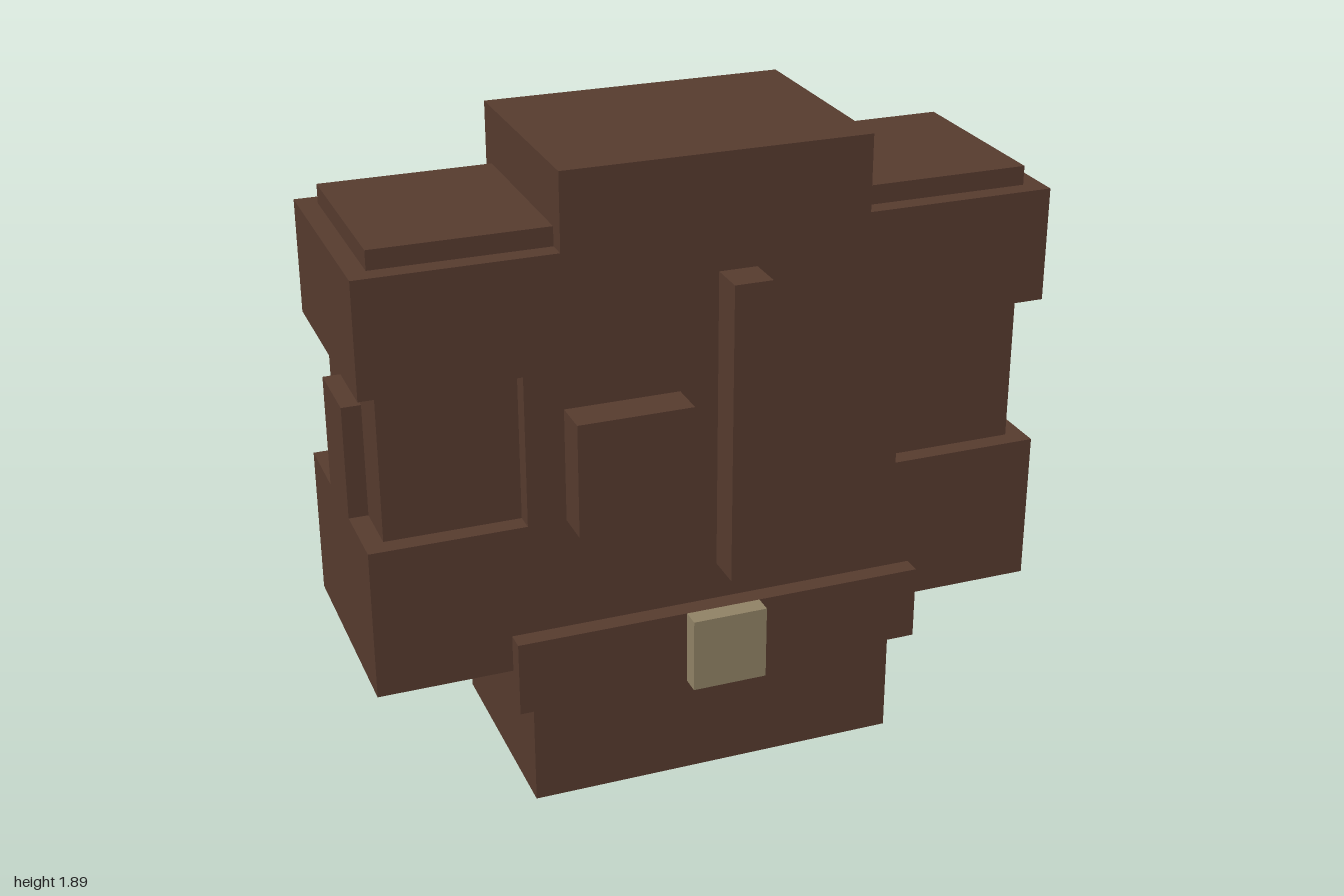
import * as THREE from 'three';

export function createModel() {
  const model = new THREE.Group();
  model.name = 'blockyJacket';
  const brown = new THREE.MeshStandardMaterial({ color: 0x563b2e });
  brown.name = 'brown leather';
  const brass = new THREE.MeshStandardMaterial({ color: 0x908265 });
  brass.name = 'dull brass';

  // All sizes are whole steps of a block grid, 18 steps to one unit
  const S = 1 / 18;
  function box(name, [x0, x1], [y0, y1], [z0, z1], material = brown, parent = model) {
    const geometry = new THREE.BoxGeometry((x1 - x0) * S, (y1 - y0) * S, (z1 - z0) * S);
    const mesh = new THREE.Mesh(geometry, material);
    mesh.position.set((x0 + x1) / 2 * S, (y0 + y1) / 2 * S, (z0 + z1) / 2 * S);
    mesh.name = name;
    parent.add(mesh);
  }

  // Body
  box('skirt', [-10, 10], [0, 6], [-6, 6]);
  box('torso', [-10, 10], [6, 30], [-6, 6]);
  box('collar', [-8, 8], [30, 34], [-6, 6]);

  // Belt and buckle
  box('belt', [-11, 11], [6, 10], [-7, 7]);
  box('buckle', [-2, 2], [6, 10], [7, 8], brass);

  // Raised details on the front and back
  box('frontFlap', [0, 2], [12, 28], [6, 8]);
  box('chestPocket', [-8, -2], [16, 22], [6, 8]);
  box('backPouch', [-2, 6], [12, 20], [-8, -6]);

  // Sleeves, mirrored
  for (const side of [1, -1]) {
    const arm = new THREE.Group();
    arm.name = side > 0 ? 'leftSleeve' : 'rightSleeve';
    const span = (a, b) => (side > 0 ? [a, b] : [-b, -a]);
    box('cuff', span(10, 18), [8, 16], [-6, 6], brown, arm);
    box('elbow', span(10, 17), [16, 24], [-5, 5], brown, arm);
    box('elbowPatch', span(17, 18), [16, 22], [-2, 2], brown, arm);
    box('shoulder', span(10, 18), [24, 30], [-6, 6], brown, arm);
    box('shoulderPad', span(8, 17), [30, 31], [-5, 5], brown, arm);
    model.add(arm);
  }
  return model;
}
